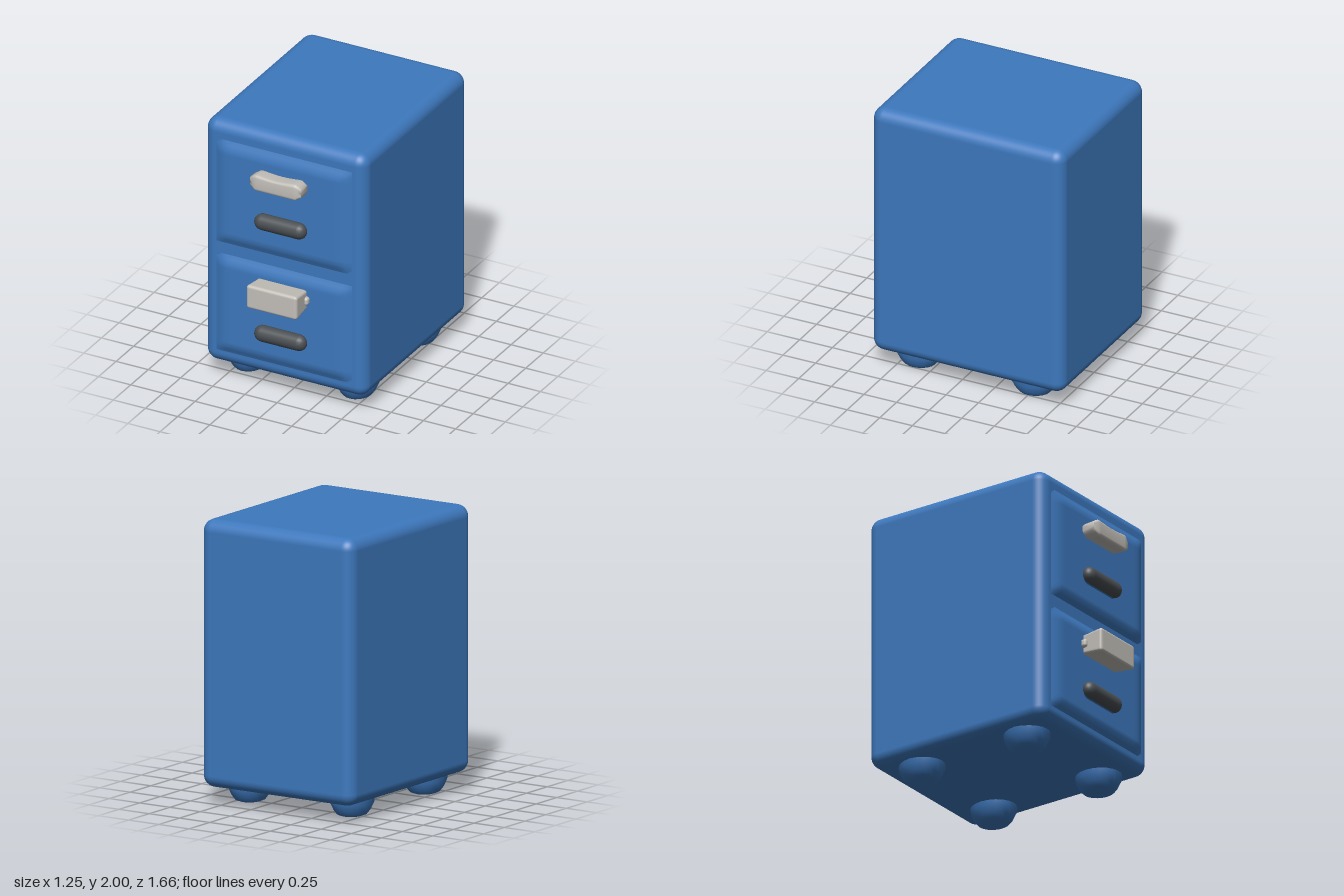
import * as THREE from 'three';
import { RoundedBoxGeometry } from 'three/addons/geometries/RoundedBoxGeometry.js';

const makeMaterial = (name, color) => {
  const m = new THREE.MeshStandardMaterial({ color });
  m.name = name;
  return m;
};

export function createModel() {
  const blue = makeMaterial('cabinet blue', 0x3d78bd);
  const pale = makeMaterial('pale grey', 0xc4c0ba);
  const dark = makeMaterial('dark grey', 0x4a4f53);

  const group = new THREE.Group();
  group.name = 'filingCabinet';
  const add = (name, geometry, material, x, y, z, parent = group) => {
    const mesh = new THREE.Mesh(geometry, material);
    mesh.name = name;
    mesh.position.set(x, y, z);
    parent.add(mesh);
    return mesh;
  };

  // Softly rounded cabinet body
  add('body', new RoundedBoxGeometry(1.255, 1.87, 1.475, 5, 0.085), blue, 0, 1.06, -0.09);

  // Pillow-like drawer front: thickness fades out towards its edges
  const drawerFront = (w, h) => {
    const g = new THREE.PlaneGeometry(w, h, 24, 24);
    const p = g.attributes.position;
    for (let i = 0; i < p.count; i++) {
      const edge = Math.min(w / 2 - Math.abs(p.getX(i)), h / 2 - Math.abs(p.getY(i)));
      p.setZ(i, 0.032 * THREE.MathUtils.smoothstep(edge, 0, 0.07));
    }
    g.computeVertexNormals();
    return g;
  };

  // Pull handle: flares outwards; the upper one dips in the middle and has cut corners
  const pull = (w, h, d, dip) => {
    const g = new RoundedBoxGeometry(w, h, d, 4, 0.022);
    const p = g.attributes.position;
    // Subdivision only exists at the rounded corners, so taper by depth here
    for (let i = 0; i < p.count; i++) {
      const back = 0.5 - p.getZ(i) / d;
      p.setY(i, p.getY(i) * (1 - 0.22 * back));
      p.setX(i, p.getX(i) * (1 - 0.04 * back));
    }
    g.computeVertexNormals();
    if (!dip) return g;

    // Closed loft along x with a rounded rectangular cross-section
    const rows = 20, ring = 24, pos = [], index = [];
    for (let r = 0; r <= rows; r++) {
      const t = (r / rows) * 2 - 1;
      const end = THREE.MathUtils.smoothstep(Math.abs(t), 0.78, 1);
      const tall = (h / 2) * (1 - 0.45 * end);
      const deep = (d / 2) * (1 - 0.25 * end);
      const sag = -0.014 * Math.cos(t * Math.PI / 2) ** 2;
      for (let k = 0; k < ring; k++) {
        const a = (k / ring) * Math.PI * 2, c = Math.cos(a), s = Math.sin(a);
        const z = Math.sign(c) * Math.abs(c) ** 0.4 * deep;
        const y = Math.sign(s) * Math.abs(s) ** 0.4 * tall * (0.9 + 0.1 * z / deep);
        pos.push(t * w / 2, y + (s > 0 ? sag * s : 0), z);
        if (r < rows) {
          const a0 = r * ring + k, a1 = r * ring + (k + 1) % ring;
          index.push(a0, a1, a0 + ring, a1, a1 + ring, a0 + ring);
        }
      }
    }
    // End caps
    for (let k = 1; k < ring - 1; k++) {
      const e = rows * ring;
      index.push(0, k + 1, k, e, e + k, e + k + 1);
    }
    const loft = new THREE.BufferGeometry();
    loft.setAttribute('position', new THREE.Float32BufferAttribute(pos, 3));
    // Ring runs from +z to +y, so reverse the faces to point outwards
    for (let i = 0; i < index.length; i += 3) {
      const [a, b, c] = index.slice(i, i + 3);
      const A = new THREE.Vector3().fromArray(pos, a * 3);
      const n = new THREE.Vector3().fromArray(pos, b * 3).sub(A)
        .cross(new THREE.Vector3().fromArray(pos, c * 3).sub(A));
      if (n.dot(A) < 0) { index[i + 1] = c; index[i + 2] = b; }
    }
    loft.setIndex(index);
    loft.computeVertexNormals();
    return loft;
  };

  const capsule = (radius, length) =>
    new THREE.CapsuleGeometry(radius, length, 6, 16).rotateZ(Math.PI / 2);

  // Two drawers, each with a pull and a dark bar mounted on a blue base
  const drawers = [
    { name: 'upperDrawer', y: 1.47, h: 0.8, pullY: 1.675, pullH: 0.13, tip: 0.79, dip: true, barY: 1.34 },
    { name: 'lowerDrawer', y: 0.61, h: 0.76, pullY: 0.81, pullH: 0.18, tip: 0.835, dip: false, barY: 0.477 },
  ];
  for (const d of drawers) {
    const drawer = new THREE.Group();
    drawer.name = d.name;
    group.add(drawer);
    add('drawerFront', drawerFront(1.06, d.h), blue, 0, d.y, 0.646, drawer);
    const depth = d.tip - 0.66;
    add('pullHandle', pull(0.395, d.pullH, depth, d.dip), pale, 0, d.pullY, d.tip - depth / 2, drawer);
    add('barBase', capsule(0.057, 0.275), blue, 0, d.barY - 0.005, 0.67, drawer);
    add('bar', capsule(0.06, 0.28), dark, 0, d.barY, 0.698, drawer).scale.z = 0.87;
  }

  // Lower pull's small mounting ears
  add('pullMount', new RoundedBoxGeometry(0.43, 0.06, 0.05, 3, 0.02), pale, 0, 0.81, 0.69);

  // Four stubby rounded feet
  const profile = [[0, 0], [0.08, 0.003], [0.115, 0.015], [0.14, 0.045], [0.165, 0.095], [0.172, 0.15]]
    .map(([x, y]) => new THREE.Vector2(x, y));
  const footGeometry = new THREE.LatheGeometry(profile, 20);
  for (const x of [-0.42, 0.42]) for (const z of [0.37, -0.51]) {
    add('foot', footGeometry, blue, x, 0, z).scale.x = 0.88;
  }
  return group;
}
